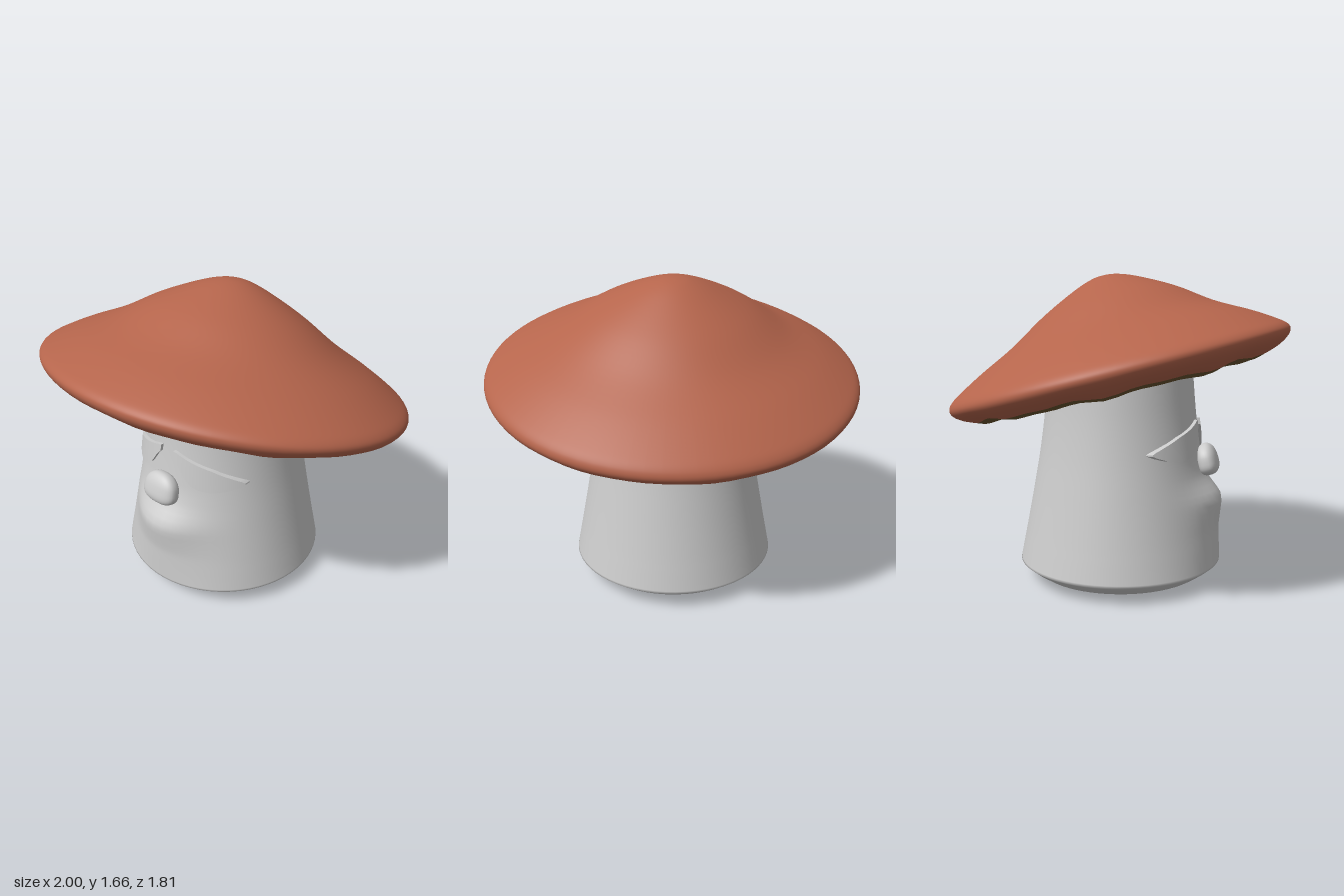
import * as THREE from 'three';
import { mergeVertices } from 'three/addons/utils/BufferGeometryUtils.js';

const GREY = 0xcccccc, RED = 0xb5654c, OLIVE = 0x6b5530;

// Moves every vertex by a rule.
function deform(geometry, rule) {
  const p = geometry.attributes.position, v = new THREE.Vector3();
  for (let i = 0; i < p.count; i++) {
    rule(v.fromBufferAttribute(p, i));
    p.setXYZ(i, v.x, v.y, v.z);
  }
  return geometry;
}

// Welds the seams and gives continuous smooth normals.
function smooth(geometry) {
  geometry.deleteAttribute('uv');
  geometry.deleteAttribute('normal');
  const welded = mergeVertices(geometry, 1e-5);
  welded.computeVertexNormals();
  return welded;
}

function part(name, geometry, color, side = THREE.FrontSide) {
  const mesh = new THREE.Mesh(geometry, new THREE.MeshStandardMaterial({ color, side }));
  mesh.name = name;
  return mesh;
}

const curve = (points) => new THREE.SplineCurve(points.map(([x, y]) => new THREE.Vector2(x, y)));

// Piecewise linear lookup in a list of [key, value].
function lookup(table, k) {
  for (let i = 1; i < table.length; i++) {
    const [k0, a] = table[i - 1], [k1, b] = table[i];
    if (k <= k1) return THREE.MathUtils.lerp(a, b, THREE.MathUtils.clamp((k - k0) / (k1 - k0), 0, 1));
  }
  return table[table.length - 1][1];
}

// Stem radius by height
const STEM = [[0.1, 0.56], [0.2, 0.54], [0.3, 0.52], [0.5, 0.482], [0.7, 0.447], [0.9, 0.42], [1.1, 0.402], [1.25, 0.39]];

function createStem() {
  const side = curve(STEM.map(([y, r]) => [r, y])).getPoints(44);
  const profile = [[0, 0], [0.25, 0.014], [0.44, 0.027], [0.47, 0.034], [0.52, 0.068], [0.548, 0.09]]
    .map(([r, y]) => new THREE.Vector2(r, y)).concat(side, new THREE.Vector2(0, 1.25));
  const geometry = new THREE.LatheGeometry(profile, 64, Math.PI);
  // Chin pushed out at the front, sharp above and fading below
  const bulge = [[0.1, 0], [0.3, 0.035], [0.4, 0.065], [0.46, 0.082], [0.49, 0.07], [0.58, 0.015], [0.66, 0]];
  deform(geometry, (v) => {
    const angle = Math.atan2(v.x, v.z);
    const push = lookup(bulge, v.y) * Math.exp(-((angle / 0.42) ** 2));
    v.x += push * Math.sin(angle);
    v.z += push * Math.cos(angle);
  });
  return part('stem', smooth(geometry), GREY);
}

// Leans the cap back, shifts its peak and makes the plan slightly oval.
function leanCap(v) {
  const r = Math.min(1, Math.hypot(v.x, v.z));
  v.z = v.z * 0.905 - (v.y > 0.02 ? 0.1 * (1 - r) : 0);
  v.y += 1.145 + 0.245 * v.z;
}

// Wavy lower lip shared by the cap and its underside
function ripple(v) {
  const a = Math.atan2(v.x, v.z), r = Math.hypot(v.x, v.z);
  const amount = Math.exp(-(((r - 0.84) / 0.1) ** 2));
  if (v.y < 0) v.y += amount * (0.007 * Math.sin(11 * a + 1) + 0.005 * Math.sin(19 * a));
}

function createCap() {
  const cap = new THREE.Group();
  cap.name = 'cap';
  const shape = (v) => { ripple(v); leanCap(v); };

  const outer = curve([[0.87, -0.085], [0.93, -0.066], [0.98, -0.035], [1, 0], [0.985, 0.035], [0.93, 0.075],
    [0.8, 0.15], [0.6, 0.252], [0.4, 0.378], [0.2, 0.478], [0.08, 0.522], [0, 0.532]]).getPoints(66);
  outer[outer.length - 1].x = 0;
  cap.add(part('capTop', smooth(deform(new THREE.LatheGeometry(outer, 80, Math.PI), shape)), RED));

  const inner = curve([[0.3, -0.015], [0.42, -0.042], [0.55, -0.068], [0.7, -0.095], [0.8, -0.102], [0.87, -0.085]]).getPoints(24);
  cap.add(part('capUnderside', smooth(deform(new THREE.LatheGeometry(inner, 80, Math.PI), shape)), OLIVE, THREE.DoubleSide));
  return cap;
}

// Drooping eyelid plate wrapped around the stem; sign picks the side.
function createEye(sign) {
  const top = [[0.045, 0.885], [0.07, 0.88], [0.12, 0.862], [0.25, 0.82], [0.33, 0.78], [0.37, 0.755], [0.38, 0.745]];
  const bottom = [[0.045, 0.85], [0.07, 0.825], [0.12, 0.75], [0.16, 0.714], [0.2, 0.7], [0.26, 0.694], [0.33, 0.708], [0.365, 0.725], [0.38, 0.738]];
  const geometry = deform(new THREE.BoxGeometry(1, 1, 1, 30, 4, 1), (v) => {
    const x = 0.045 + 0.335 * (v.x * sign + 0.5);
    const y = THREE.MathUtils.lerp(lookup(bottom, x), lookup(top, x), v.y + 0.5);
    const radius = lookup(STEM, y) + (v.z > 0 ? 0.017 : -0.02);
    v.set(sign * x, y, Math.sqrt(radius * radius - x * x));
  });
  geometry.computeVertexNormals();
  return part(sign > 0 ? 'leftEye' : 'rightEye', geometry, GREY);
}

// Rounded nose, wider towards the bottom
function createNose() {
  const square = (n) => Math.sign(n) * Math.abs(n) ** 0.8;
  const geometry = deform(new THREE.SphereGeometry(1, 32, 24), (v) => {
    const widen = 1 - 0.16 * v.y;
    v.set(square(v.x) * 0.108 * widen, square(v.y) * 0.086, square(v.z) * 0.056 * widen);
  });
  const nose = part('nose', smooth(geometry), GREY);
  nose.position.set(0, 0.667, 0.488);
  nose.rotation.x = -0.25;
  return nose;
}

export function createModel() {
  const model = new THREE.Group();
  model.name = 'mushroom';
  model.add(createStem(), createCap(), createEye(1), createEye(-1), createNose());
  return model;
}
